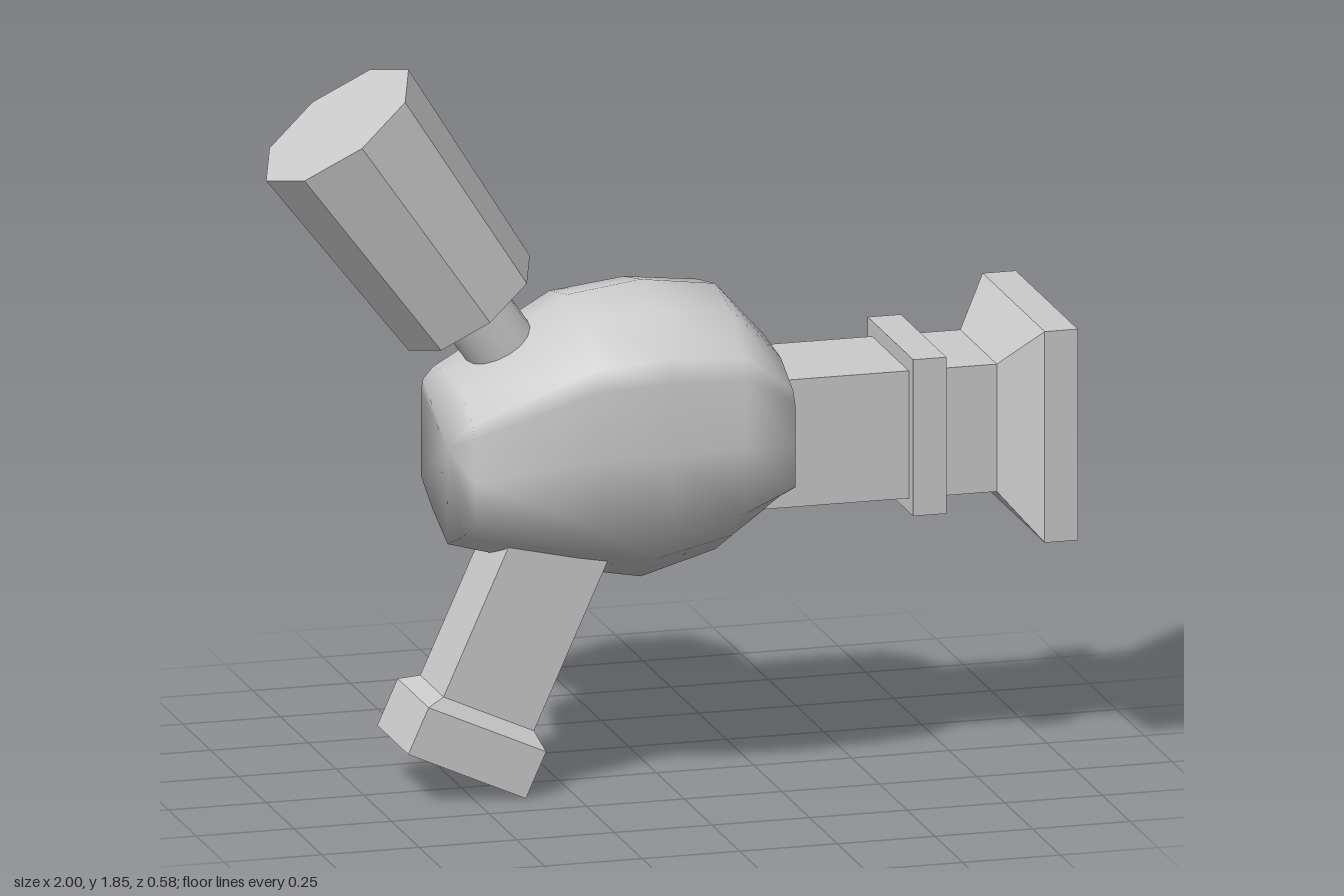
import * as THREE from 'three';

const smooth = new THREE.MeshStandardMaterial({ color: 0xcccccc });
const faceted = new THREE.MeshStandardMaterial({ color: 0xcccccc, flatShading: true });

// Skin a row of closed rings along x. Each ring is { x, pts: [[y, z], ...] }, running from +y towards +z.
function loft(rings) {
  const n = rings[0].pts.length, pos = [], idx = [];
  for (const { x, pts } of rings) for (const [y, z] of pts) pos.push(x, y, z);
  for (let i = 0; i < rings.length - 1; i++) {
    for (let j = 0; j < n; j++) {
      const k = (j + 1) % n;
      const a = i * n + j, b = i * n + k, c = b + n, d = a + n;
      idx.push(a, b, c, a, c, d);
    }
  }
  // end caps, fanned from a centre point
  [0, rings.length - 1].forEach((i, end) => {
    const { x, pts } = rings[i];
    const mid = (m) => pts.reduce((s, p) => s + p[m], 0) / n;
    const centre = pos.length / 3;
    pos.push(x, mid(0), mid(1));
    for (let j = 0; j < n; j++) {
      const a = i * n + j, b = i * n + (j + 1) % n;
      if (end) idx.push(centre, a, b); else idx.push(centre, b, a);
    }
  });
  const g = new THREE.BufferGeometry();
  g.setAttribute('position', new THREE.Float32BufferAttribute(pos, 3));
  g.setIndex(idx);
  g.computeVertexNormals();
  return g;
}

// Rectangular ring with half height h and half depth d
const rect = ([x, h, d]) => ({ x, pts: [[h, -d], [h, d], [-h, d], [-h, -d]] });

// Body ring: domed top, upright sides, keeled underside
const half = [[0.91, 0.54], [0.65, 0.93], [0.5, 1], [0, 1], [-0.5, 1], [-0.77, 0.54]];
const outline = [[1, 0], ...half, [-1, 0], ...half.map(([y, z]) => [y, -z]).reverse()];
const bodyRing = ([x, bottom, top, w]) => ({
  x,
  pts: outline.map(([y, z]) => [(top + bottom) / 2 + y * (top - bottom) / 2, z * w]),
});

function part(name, geometry, material) {
  const mesh = new THREE.Mesh(geometry, material);
  mesh.name = name;
  return mesh;
}

export function createModel() {
  const model = new THREE.Group();
  model.name = 'toyBlaster';

  // Rounded main body
  model.add(part('body', loft([
    [-0.535, 0.635, 1.075, 0.24],
    [-0.23, 0.55, 1.25, 0.29],
    [-0.04, 0.515, 1.275, 0.29],
    [0.15, 0.57, 1.25, 0.29],
    [0.275, 0.69, 1.11, 0.285],
    [0.29, 0.75, 1.03, 0.17],
  ].map(bodyRing)), smooth));

  // Square barrel with a flared, hollow muzzle
  const barrel = part('barrel', loft([
    [0.2, 0.163, 0.165],
    [0.825, 0.163, 0.165],
    [0.915, 0.27, 0.28],
    [1.0, 0.27, 0.28],
    [1.0, 0.15, 0.155],
    [0.7, 0.12, 0.125],
  ].map(rect)), faceted);
  barrel.position.y = 0.873;
  model.add(barrel);

  // Collar around the barrel
  const collar = part('barrelCollar', new THREE.BoxGeometry(0.085, 0.4, 0.41), faceted);
  collar.position.set(0.642, 0.875, 0);
  model.add(collar);

  // Slanted grip with a wider foot
  const grip = part('grip', loft([
    [0, 0.165, 0.14],
    [0.127, 0.165, 0.14],
    [0.16, 0.127, 0.105],
    [0.68, 0.127, 0.105],
  ].map(rect)), faceted);
  grip.position.set(-0.525, 0.077, 0);
  grip.rotation.z = Math.atan2(0.912, 0.41);
  model.add(grip);

  // Tilted eight-sided canister on a round neck
  const tank = new THREE.Group();
  tank.name = 'canisterAssembly';
  tank.position.set(-0.48, 1.2475, 0);
  tank.rotation.z = Math.atan2(0.3375, 0.48);
  const canister = part('canister', new THREE.CylinderGeometry(0.223, 0.19, 0.587, 8), faceted);
  canister.position.y = 0.2935;
  const neck = part('canisterNeck', new THREE.CylinderGeometry(0.09, 0.09, 0.3, 16), smooth);
  neck.position.y = -0.13;
  tank.add(canister, neck);
  model.add(tank);

  return model;
}
